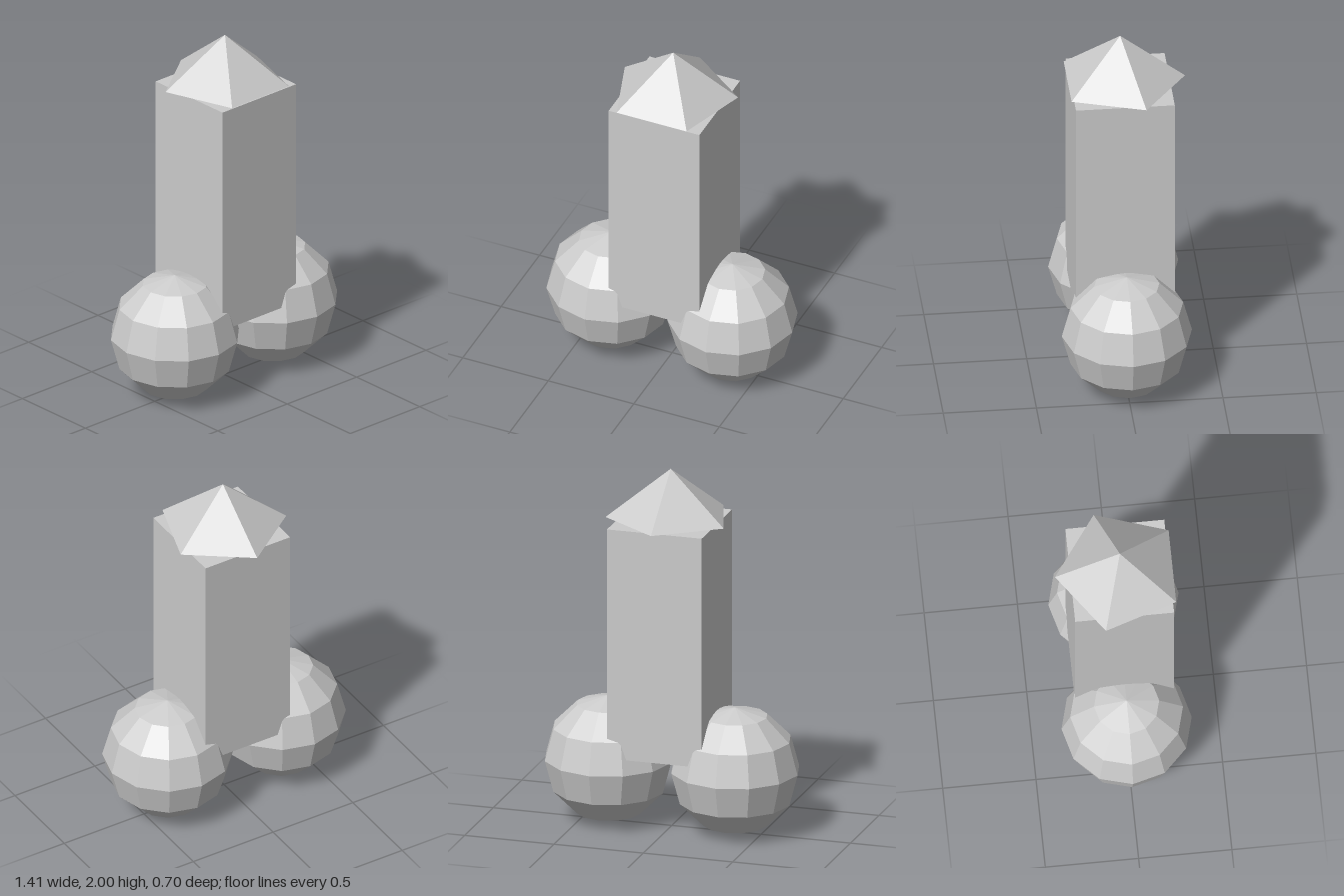
import * as THREE from 'three';

export function createModel() {
  const model = new THREE.Group();
  const material = new THREE.MeshStandardMaterial({ color: 0xcccccc, flatShading: true });

  function addPart(name, geometry, x, y, z = 0) {
    const mesh = new THREE.Mesh(geometry, material);
    mesh.name = name;
    mesh.position.set(x, y, z);
    model.add(mesh);
    return mesh;
  }

  // Square column, slightly off centre
  const bottom = 0.43, top = 1.715;
  addPart('column', new THREE.BoxGeometry(0.53, top - bottom, 0.53), 0.013, (bottom + top) / 2);

  // Five-sided cap floating just above the column, one corner pointing back
  const cap = addPart('cap', new THREE.ConeGeometry(0.348, 0.27, 5), 0.006, 1.865);
  cap.rotation.y = Math.PI;

  // Faceted spheres either side of the base
  const radius = 0.349;
  addPart('leftSphere', new THREE.SphereGeometry(radius, 12, 6), 0.353, radius);
  addPart('rightSphere', new THREE.SphereGeometry(radius, 12, 6), -0.355, radius);

  return model;
}
